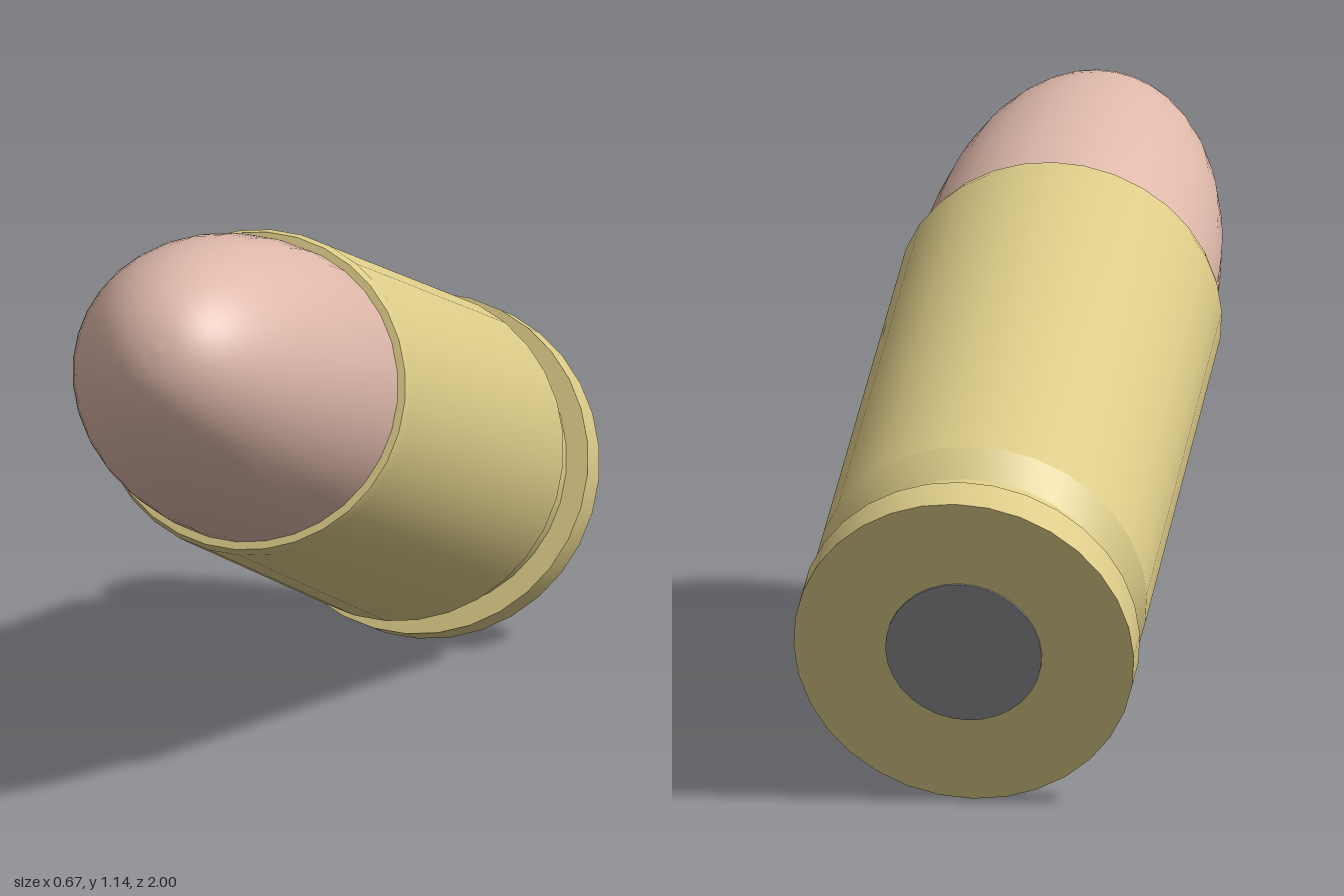
import * as THREE from 'three';
import { toCreasedNormals } from 'three/addons/utils/BufferGeometryUtils.js';

const SIDES = 32;

function material(name, color) {
  const m = new THREE.MeshStandardMaterial({ color });
  m.name = name;
  return m;
}

// Solid of revolution about the cartridge axis, from [radius, distance along axis] pairs
function lathe(profile) {
  return new THREE.LatheGeometry(profile.map(([r, s]) => new THREE.Vector2(r, s)), SIDES);
}

export function createModel() {
  const brass = material('brass', 0xdccb88);
  const copper = material('copper', 0xdeb8aa);
  const steel = material('primer steel', 0x8f9095);

  const model = new THREE.Group();
  model.name = 'cartridge';

  // Everything is built along +y, then tipped so the nose points forward and 20 degrees up
  const round = new THREE.Group();
  round.name = 'tiltedRound';
  round.rotation.x = THREE.MathUtils.degToRad(70);
  round.position.set(0, 0.315, -0.885);
  model.add(round);

  const add = (name, geometry, mat) => {
    const mesh = new THREE.Mesh(geometry, mat);
    mesh.name = name;
    round.add(mesh);
    return mesh;
  };

  // Case: base, rim, extractor groove, tapered body and mouth lip
  const caseProfile = [
    [0, 0], [0.333, 0], [0.333, 0.083], [0.29, 0.083], [0.29, 0.165],
    [0.325, 0.23], [0.318, 1.29], [0.31, 1.317], [0.293, 1.317],
  ];
  add('case', toCreasedNormals(lathe(caseProfile), 0.35), brass);

  // Bullet: rounded nose following a slightly full ellipse
  const noseProfile = [[0.295, 1.25]];
  const steps = 20, power = 2 / 2.2;
  for (let i = 0; i <= steps; i++) {
    const t = (i / steps) * Math.PI / 2;
    const r = i === steps ? 0 : 0.295 * Math.cos(t) ** power;
    noseProfile.push([r, 1.31 + 0.685 * Math.sin(t) ** power]);
  }
  add('bullet', lathe(noseProfile), copper);

  // Primer: thin disc in the middle of the base
  const primer = add('primer', new THREE.CylinderGeometry(0.153, 0.153, 0.006, SIDES), steel);
  primer.position.y = -0.001;

  return model;
}
